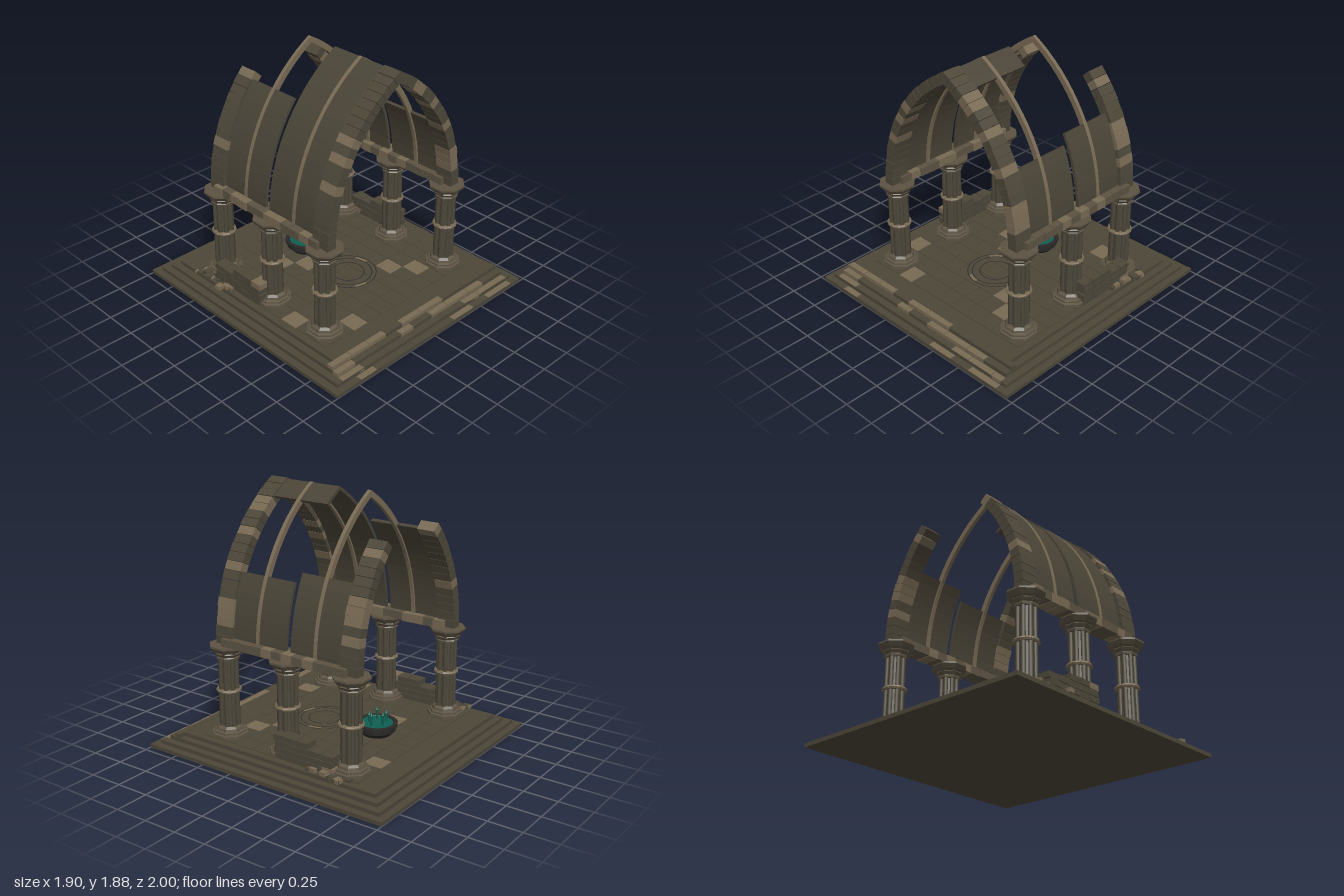
import * as THREE from 'three';

const mat = (name, color) => {
  const m = new THREE.MeshStandardMaterial({ color });
  m.name = name;
  return m;
};

export function createModel() {
  const stone = mat('stone', 0x4d4739);
  const paleStone = mat('pale stone', 0x786a54);
  const midStone = mat('mid stone', 0x5c5343);
  const vaultStone = mat('vault stone', 0x4a4437);
  const iron = mat('iron', 0x2a2928);
  const teal = mat('teal', 0x0f5f51);

  let seed = 7;
  const rand = () => (seed = (seed * 16807) % 2147483647) / 2147483647;
  const pick = (chance) => (rand() < chance ? paleStone : stone);

  const model = new THREE.Group();
  model.name = 'ruinedVaultPavilion';
  const group = (name, parent = model) => {
    const g = new THREE.Group();
    g.name = name;
    parent.add(g);
    return g;
  };
  const add = (parent, name, geo, material, x = 0, y = 0, z = 0) => {
    const m = new THREE.Mesh(geo, material);
    m.name = name;
    m.position.set(x, y, z);
    parent.add(m);
    return m;
  };
  const box = (parent, name, material, w, h, d, x, y, z) =>
    add(parent, name, new THREE.BoxGeometry(w, h, d), material, x, y, z);
  // faceted turned piece from [radius, height] pairs
  const turned = (points, sides) => {
    const g = new THREE.LatheGeometry(points.map(([r, y]) => new THREE.Vector2(r, y)), sides, Math.PI / sides).toNonIndexed();
    g.computeVertexNormals();
    return g;
  };

  // stepped platform
  const platform = group('platform');
  for (let i = 0; i < 4; i++) {
    box(platform, 'platformStep', stone, 1.9 - i * 0.104, 0.028, 2 - i * 0.104, 0, 0.014 + i * 0.028, 0);
  }

  // front stair blocks
  const stairs = group('frontStairs');
  for (let row = 0; row < 4; row++) {
    const top = 0.03 + row * 0.028;
    let x = -0.85;
    while (x < 0.849) {
      let w = 0.12 + rand() * 0.12;
      if (x + w > 0.79) w = 0.85 - x;
      box(stairs, 'stairBlock', pick(0.5), w - 0.004, 0.027, 0.046, x + w / 2, top - 0.0135, 0.975 - row * 0.05);
      x += w;
    }
  }

  // floor tiles
  const floor = group('floorTiles');
  const paleTiles = ['-2,-2', '-1,-1', '2,2', '3,3', '-3,4', '3,-4', '-5,2'];
  for (let i = -5; i <= 5; i++) {
    for (let j = -4; j <= 4; j++) {
      const m = paleTiles.includes(`${i},${j}`) ? paleStone : stone;
      box(floor, 'floorTile', m, 0.131, 0.006, 0.146, i * 0.135, 0.114, j * 0.15);
    }
  }

  // inlaid floor ring
  const medallion = group('floorMedallion');
  const flatRing = (name, r0, r1, material, y, a0 = 0, len = Math.PI * 2) => {
    const ring = add(medallion, name, new THREE.RingGeometry(r0, r1, 40, 1, a0, len), material, 0, y, 0.14);
    ring.rotation.x = -Math.PI / 2;
  };
  for (const r of [0.205, 0.172, 0.115]) flatRing('inlayLine', r, r + 0.007, iron, 0.1195);
  for (let i = 0; i < 12; i++) {
    flatRing('inlayBlock', 0.18, 0.204, i % 4 === 0 ? paleStone : stone, 0.1185, i * Math.PI / 6, Math.PI / 6 - 0.03);
  }

  // columns
  const baseGeo = turned([[0, 0.11], [0.135, 0.11], [0.135, 0.135], [0.118, 0.14], [0.118, 0.152], [0.1, 0.158], [0.096, 0.175], [0.078, 0.19], [0, 0.19]], 8);
  const coreGeo = turned([[0.07, 0.18], [0.062, 0.71]], 8);
  const shaftGeo = new THREE.CylinderGeometry(0.0165, 0.019, 0.53, 8);
  const bandGeo = turned([[0.06, 0.443], [0.086, 0.443], [0.092, 0.455], [0.086, 0.467], [0.06, 0.467]], 12);
  const capitalGeo = turned([[0.06, 0.69], [0.082, 0.69], [0.086, 0.705], [0.08, 0.712], [0.098, 0.735], [0.092, 0.742], [0.112, 0.752], [0.134, 0.782], [0.134, 0.795], [0, 0.795]], 8);
  const leafGeo = new THREE.ConeGeometry(0.025, 0.06, 4);
  for (const side of [-1, 1]) {
    for (const z of [0.53, 0, -0.53]) {
      const column = group('column');
      column.position.set(side * 0.61, 0, z);
      add(column, 'columnBase', baseGeo, midStone);
      add(column, 'columnCore', coreGeo, stone);
      add(column, 'columnBand', bandGeo, paleStone);
      add(column, 'columnCapital', capitalGeo, midStone);
      for (let i = 0; i < 8; i++) {
        const a = (i + 0.5) * Math.PI / 4;
        const c = Math.cos(a), s = Math.sin(a);
        add(column, 'columnShaft', shaftGeo, stone, c * 0.059, 0.44, s * 0.059);
        const leaf = add(column, 'capitalLeaf', leafGeo, midStone, c * 0.088, 0.74, s * 0.088);
        leaf.rotation.set(Math.PI, -a, 0);
      }
    }
  }

  // block beams on the columns
  const beams = group('springingBeams');
  for (const side of [-1, 1]) {
    for (let i = 0; i < 12; i++) {
      const w = 0.125 + rand() * 0.015;
      box(beams, 'beamBlock', rand() < 0.4 ? paleStone : midStone, w, 0.06 + rand() * 0.006, 0.085, side * 0.614, 0.82, -0.485 + i * 0.0882);
    }
  }

  // curved slab of one arch half: centre offset c, radii r0..r1, angles a0..a1
  const springY = 0.8;
  const archSlab = (side, c, r0, r1, a0, a1, zMin, depth, steps) => {
    const points = [];
    const put = (r, a) => {
      const t = Math.min(a, Math.acos(c / r));
      points.push(new THREE.Vector2(side * (r * Math.cos(t) - c), springY + r * Math.sin(t)));
    };
    for (let i = 0; i <= steps; i++) put(r1, a0 + (a1 - a0) * i / steps);
    for (let i = steps; i >= 0; i--) put(r0, a0 + (a1 - a0) * i / steps);
    const g = new THREE.ExtrudeGeometry(new THREE.Shape(points), { depth, bevelEnabled: false });
    return g.translate(0, 0, zMin);
  };

  // end arches of separate wedge stones, the rear one broken
  const apex = Math.acos(0.572 / 1.222);
  const stones = 20;
  for (const [name, zMin, count] of [['frontArch', 0.46, 20], ['rearArch', -0.603, 14]]) {
    const arch = group(name);
    for (const side of [-1, 1]) {
      for (let i = 0; i < count; i++) {
        const a0 = apex * i / stones, a1 = apex * (i + 1) / stones - (i === stones - 1 ? 0 : 0.0025);
        const lift = rand() * 0.005;
        add(arch, 'archStone', archSlab(side, 0.572, 1.147, 1.219 + lift, a0, a1, zMin, 0.138 + rand() * 0.005, 1), pick(0.28));
      }
    }
  }

  // vault shells
  const vault = group('vault');
  const vaultApex = Math.acos(0.612 / 1.237);
  const shells = [
    ['frontRightShell', -1, 0, vaultApex, 0, 0.46],
    ['frontCrownShell', 1, 0.908, vaultApex, 0, 0.46],
    ['frontLeftShell', 1, 0, 0.425, 0, 0.46],
    ['rearRightShell', -1, 0, 0.693, -0.46, 0.42],
    ['rearLeftShell', 1, 0, 0.484, -0.46, 0.42],
  ];
  for (const [name, side, a0, a1, z, depth] of shells) {
    add(vault, name, archSlab(side, 0.612, 1.212, 1.235, a0, a1, z, depth, Math.ceil((a1 - a0) * 16)), vaultStone);
  }
  for (const z of [0.245, -0.245]) {
    for (const side of [-1, 1]) {
      add(vault, 'vaultRib', archSlab(side, 0.612, 1.198, 1.239, 0, vaultApex + 0.02, z - 0.014, 0.028, 16), paleStone);
    }
  }

  // low broken walls and rubble
  const walls = group('brokenWalls');
  for (const side of [-1, 1]) {
    for (let row = 0; row < 4; row++) {
      const n = row === 3 ? 3 : 5;
      for (let i = 0; i < n; i++) {
        const shift = row % 2 ? 0.012 : 0;
        box(walls, 'wallBlock', pick(0.12), 0.09 + rand() * 0.012, 0.041, 0.092, side * 0.703, 0.137 + row * 0.0445, -0.04 - i * 0.098 + shift);
      }
    }
    for (let i = 0; i < 16; i++) {
      const s = 0.025 + rand() * 0.03;
      const rubble = box(walls, 'rubble', pick(0.65), s, s * 0.6, s, side * (0.73 + rand() * 0.08), 0.11 + s * 0.3, -0.28 - rand() * 0.4);
      rubble.rotation.y = (rand() - 0.5) * 0.6;
    }
  }

  // fire bowl with crystals
  const bowl = group('fireBowl');
  bowl.position.set(0, 0, -0.325);
  add(bowl, 'bowlBody', turned([[0, 0.115], [0.105, 0.115], [0.118, 0.13], [0.138, 0.15], [0.14, 0.175], [0.15, 0.18], [0.15, 0.203], [0.122, 0.203], [0.115, 0.188], [0, 0.188]], 24), iron);
  add(bowl, 'bowlGlow', new THREE.CylinderGeometry(0.118, 0.118, 0.006, 24), teal, 0, 0.194, 0);
  const crystals = [[-0.06, -0.04, 0.285], [0.02, -0.065, 0.3], [0.07, 0, 0.295], [0.025, 0.05, 0.28], [-0.06, 0.04, 0.29]];
  for (const [x, z, top] of crystals) {
    add(bowl, 'crystal', turned([[0.008, 0.19], [0.009, top - 0.035], [0.013, top - 0.025], [0, top]], 6), teal, x, 0, z);
  }

  return model;
}
